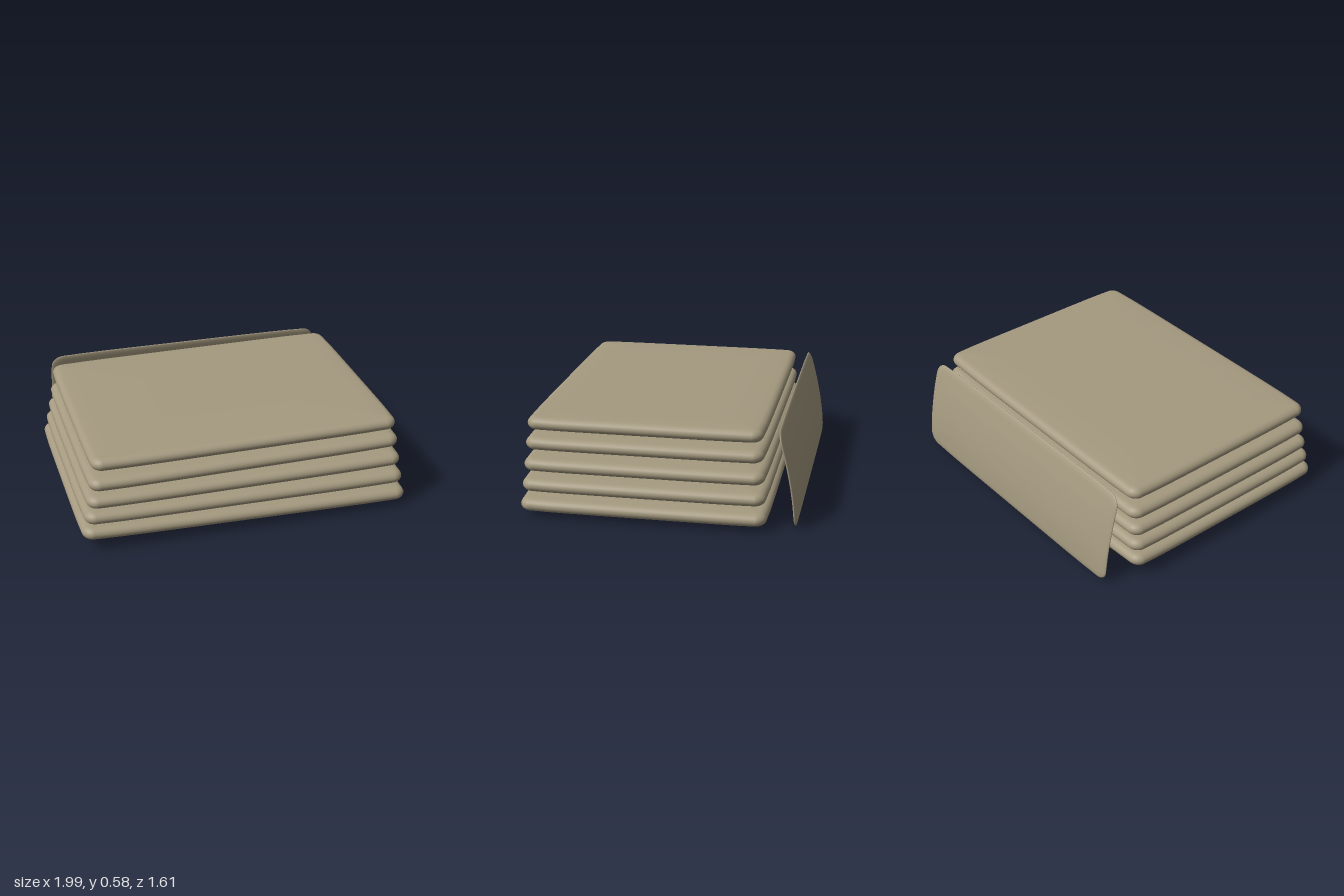
import * as THREE from 'three';

// Outline of a rounded rectangle whose sides bow out slightly.
function outline(hx, hz, r, bow) {
  const corners = [];
  for (let q = 0; q < 4; q++) {
    const sx = q === 0 || q === 3 ? 1 : -1;
    const sz = q < 2 ? 1 : -1;
    for (let k = 0; k <= 6; k++) {
      const a = (q + k / 6) * Math.PI / 2;
      corners.push([sx * (hx - r) + r * Math.cos(a), sz * (hz - r) + r * Math.sin(a)]);
    }
  }
  const pts = [];
  corners.forEach((p, i) => {
    const n = corners[(i + 1) % corners.length];
    const steps = i % 7 === 6 ? 12 : 1; // straight sides are subdivided
    for (let s = 0; s < steps; s++) {
      pts.push([p[0] + (n[0] - p[0]) * s / steps, p[1] + (n[1] - p[1]) * s / steps]);
    }
  });
  return pts.map(([x, z]) => [
    x * (1 - bow / hx * Math.pow(Math.abs(z) / hz, 6)),
    z * (1 - bow / hz * Math.pow(Math.abs(x) / hx, 6)),
  ]);
}

// Soft slab lying flat: rings run from the top centre over the rim to the bottom centre.
function slabGeometry(hx, hz, half, edge, radius) {
  const upper = [];
  for (const k of [0, 0.25, 0.5, 0.75]) upper.push({ inset: 0.12, k, y: half });
  upper.push({ inset: 0.12, k: 1, y: half * 0.98 });
  for (let i = 6; i >= 0; i--) {
    const a = i / 6 * Math.PI / 2;
    upper.push({ inset: edge * (1 - Math.cos(a)), k: 1, y: half * 0.87 * Math.sin(a) });
  }
  const lower = upper.slice(0, -1).reverse().map((p) => ({ ...p, y: -p.y }));
  const rings = [...upper, ...lower];
  const pos = [], index = [];
  let n = 0;
  for (const { inset, k, y } of rings) {
    const pts = outline(hx - inset, hz - inset, Math.max(radius - inset, 0.012), 0.01);
    n = pts.length;
    for (const [x, z] of pts) pos.push(x * k, y, z * k);
  }
  for (let i = 0; i < rings.length - 1; i++) {
    for (let j = 0; j < n; j++) {
      const a = i * n + j, b = i * n + (j + 1) % n;
      index.push(a, b, a + n, b, b + n, a + n);
    }
  }
  const g = new THREE.BufferGeometry();
  g.setAttribute('position', new THREE.Float32BufferAttribute(pos, 3));
  g.setIndex(index);
  g.computeVertexNormals();
  return g;
}

export function createModel() {
  const model = new THREE.Group();
  model.name = 'layeredSlabs';
  const tan = new THREE.MeshStandardMaterial({ color: 0xa59a80 });
  tan.name = 'tan';

  // Stacked slabs: each one smaller and tilted a little differently
  const heights = [0.092, 0.196, 0.303, 0.418, 0.538];
  const tilts = [-0.018, -0.007, 0.005, 0.015, 0.010];
  heights.forEach((y, i) => {
    const slab = new THREE.Mesh(
      slabGeometry(0.997 - 0.0185 * i, 0.724 - 0.0088 * i, 0.0435, 0.045, 0.06), tan);
    slab.name = `slab${i + 1}`;
    slab.position.set(0, y, 0.08);
    slab.rotation.z = tilts[i];
    model.add(slab);
  });

  // Thin curved panel standing behind the stack, leaning in at the top
  const g = slabGeometry(0.9, 0.287, 0.012, 0.045, 0.065);
  g.rotateX(Math.PI / 2);
  g.translate(0, 0.291, 0);
  const p = g.attributes.position;
  for (let i = 0; i < p.count; i++) {
    const t = Math.max(p.getY(i), 0) / 0.578;
    p.setZ(i, p.getZ(i) - 0.793 + 0.106 * Math.pow(t, 1.7));
  }
  g.computeVertexNormals();
  const panel = new THREE.Mesh(g, tan);
  panel.name = 'backPanel';
  model.add(panel);
  return model;
}
